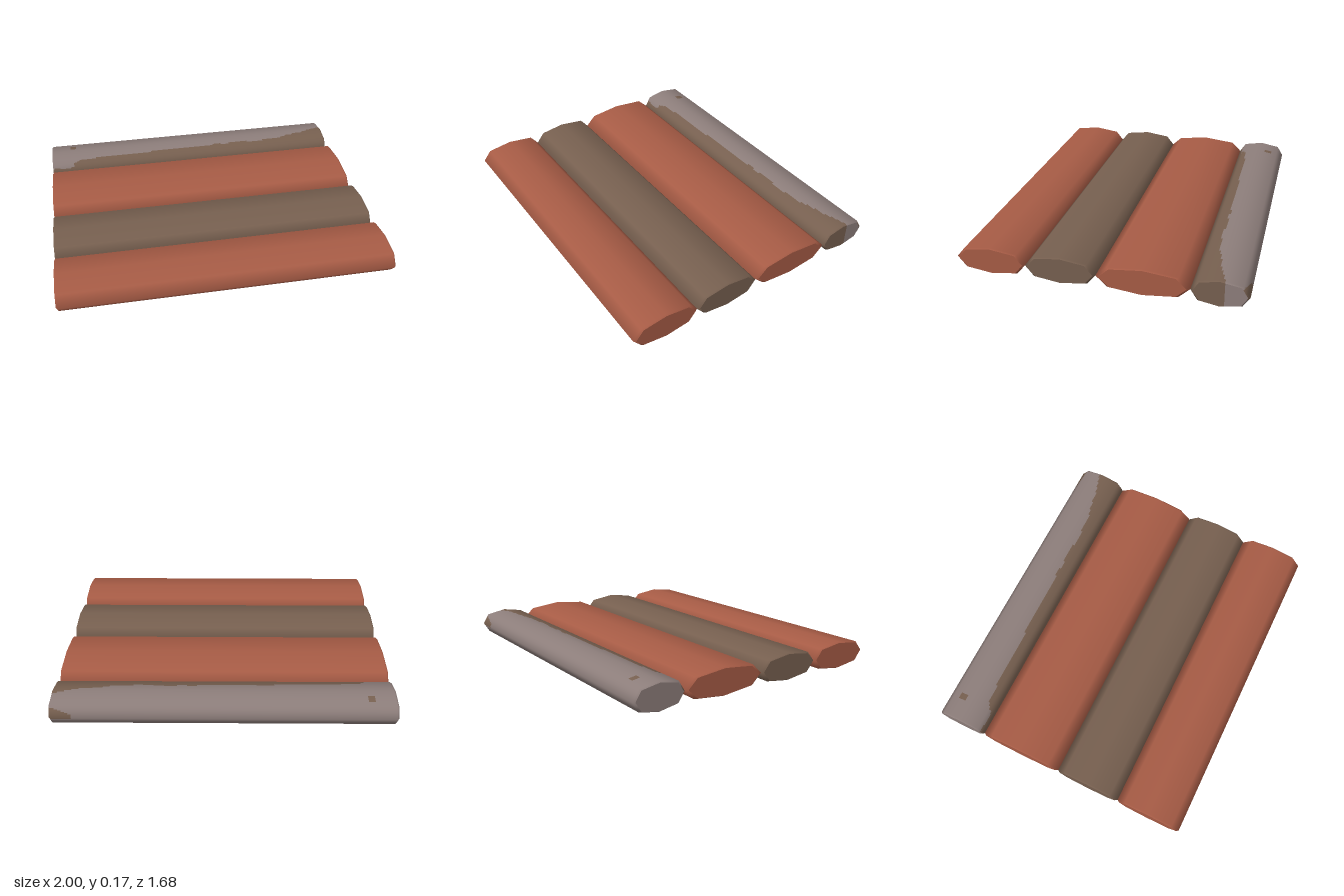
import * as THREE from 'three';

const MID = 0.0825, BEVEL = 0.93;
// eight-sided plank section as [z factor, y offset], from +z over the top
const SECTION = [[1, 0], [0.76, 0.061], [0, 0.0825], [-0.76, 0.061],
  [-1, 0], [-0.76, -0.061], [0, -0.0825], [0.76, -0.061]];

const material = (name, color) => {
  const m = new THREE.MeshStandardMaterial({ color });
  m.name = name;
  return m;
};

// half height of the section at z factor u
const halfHeight = (u) => {
  const a = Math.abs(u);
  return a > 0.76 ? (0.061 * (1 - a)) / 0.24 : 0.0825 - (0.0215 * a) / 0.76;
};

function buildGeometry(pos, norm, faces) {
  const index = [...faces[0], ...faces[1]];
  const g = new THREE.BufferGeometry();
  g.setAttribute('position', new THREE.Float32BufferAttribute(pos, 3));
  g.setAttribute('normal', new THREE.Float32BufferAttribute(norm, 3));
  g.setIndex(index);
  g.addGroup(0, faces[0].length, 0);
  if (faces[1].length) g.addGroup(faces[0].length, faces[1].length, 1);
  return g;
}

// rounded outside of a plank; pick(x, y, z) chooses the material of each cell
function sideGeometry(zc, w, cols, sub, pick) {
  // smooth corner normals from the two neighbouring corners
  const normals = SECTION.map((p, k) => {
    const sum = new THREE.Vector2();
    for (const [a, b] of [[SECTION[(k + 7) % 8], p], [p, SECTION[(k + 1) % 8]]]) {
      sum.add(new THREE.Vector2(b[1] - a[1], -(b[0] - a[0]) * w).normalize());
    }
    return sum.normalize();
  });
  const rows = [[-1, BEVEL]];
  for (let i = 0; i <= cols; i++) rows.push([-0.99 + (1.98 * i) / cols, 1]);
  rows.push([1, BEVEL]);
  const n = 8 * sub, pos = [], norm = [], faces = [[], []];
  rows.forEach(([x, s]) => {
    for (let j = 0; j < n; j++) {
      const k = Math.floor(j / sub), k2 = (k + 1) % 8, t = (j % sub) / sub;
      const u = THREE.MathUtils.lerp(SECTION[k][0], SECTION[k2][0], t);
      const y = THREE.MathUtils.lerp(SECTION[k][1], SECTION[k2][1], t);
      const nr = normals[k].clone().lerp(normals[k2], t).normalize();
      const v = new THREE.Vector3(s < 1 ? Math.sign(x) * 0.8 : 0, nr.y, nr.x).normalize();
      pos.push(x, MID + y * s, zc + u * w * s);
      norm.push(v.x, v.y, v.z);
    }
  });
  for (let i = 0; i < rows.length - 1; i++) {
    for (let j = 0; j < n; j++) {
      const a = i * n + j, b = a + n, c = i * n + ((j + 1) % n), d = c + n;
      const mid = [0, 1, 2].map((q) => (pos[a * 3 + q] + pos[d * 3 + q]) / 2);
      faces[pick(...mid)].push(a, b, d, a, d, c);
    }
  }
  return buildGeometry(pos, norm, faces);
}

// flat end built from upright columns
function endGeometry(zc, w, side, us, pick) {
  const pos = [], norm = [], faces = [[], []];
  us.forEach((u) => {
    for (const d of [-1, 1]) {
      pos.push(side, MID + d * halfHeight(u) * BEVEL, zc + u * w * BEVEL);
      norm.push(side, 0, 0);
    }
  });
  for (let i = 0; i < us.length - 1; i++) {
    const a = i * 2, b = a + 1, c = a + 2, d = a + 3;
    const z = zc + ((us[i] + us[i + 1]) / 2) * w;
    faces[pick(side, MID, z)].push(...(side > 0 ? [a, b, d, a, d, c] : [a, d, b, a, c, d]));
  }
  return buildGeometry(pos, norm, faces);
}

// front limit of the weathered grey area along the back plank
const EDGE = [[-1, -0.54], [-0.86, -0.545], [-0.8, -0.585], [-0.3, -0.605],
  [0, -0.61], [0.6, -0.615], [0.8, -0.65], [1, -0.705]];
function edgeAt(x) {
  let k = 0;
  while (k < EDGE.length - 2 && x > EDGE[k + 1][0]) k++;
  const [a, b] = [EDGE[k], EDGE[k + 1]];
  const z = THREE.MathUtils.mapLinear(x, a[0], b[0], a[1], b[1]);
  return z + 0.006 * Math.sin(x * 23) * Math.sin(x * 9 + 1);
}

function weathered(x, y, z) {
  if (y > 0.07 && x > 0.88 && z < -0.805 - (1 - x) * 0.2) return 0; // bare corner
  if (y > 0.1 && Math.hypot(x + 0.85, z + 0.74) < 0.027) return 0; // bare spot
  if (y < 0.05) return x > 0.93 && z > -0.7 ? 0 : 1;
  return z < edgeAt(x) ? 1 : 0;
}

export function createModel() {
  const red = material('redClay', 0xa65b45);
  const brown = material('brownWood', 0x765f4f);
  const grey = material('weatheredGrey', 0x8c7d7a);
  const model = new THREE.Group();
  model.name = 'plankPanel';

  const planks = [
    { name: 'frontPlank', z0: 0.425, z1: 0.84, mats: [red] },
    { name: 'secondPlank', z0: 0.01, z1: 0.425, mats: [brown] },
    { name: 'widePlank', z0: -0.52, z1: 0.01, mats: [red] },
    { name: 'backPlank', z0: -0.84, z1: -0.52, mats: [brown, grey], worn: true },
  ];
  for (const { name, z0, z1, mats, worn } of planks) {
    const zc = (z0 + z1) / 2, w = (z1 - z0) / 2;
    const group = new THREE.Group();
    group.name = name;
    const add = (part, geometry) => {
      const mesh = new THREE.Mesh(geometry, mats.length > 1 ? mats : mats[0]);
      mesh.name = part;
      group.add(mesh);
    };
    add('body', sideGeometry(zc, w, worn ? 100 : 1, worn ? 10 : 1, worn ? weathered : () => 0));
    const us = [-1, -0.76, 0, 0.76, 1];
    if (worn) us.splice(2, 0, (-0.705 - zc) / (w * BEVEL));
    // worn plank: grey left of the split at one end, all grey at the other
    const pickEnd = (x, y, z) => (worn && (x < 0 || z < -0.7) ? 1 : 0);
    add('rightEnd', endGeometry(zc, w, -1, us, pickEnd));
    add('leftEnd', endGeometry(zc, w, 1, us, pickEnd));
    model.add(group);
  }
  return model;
}
